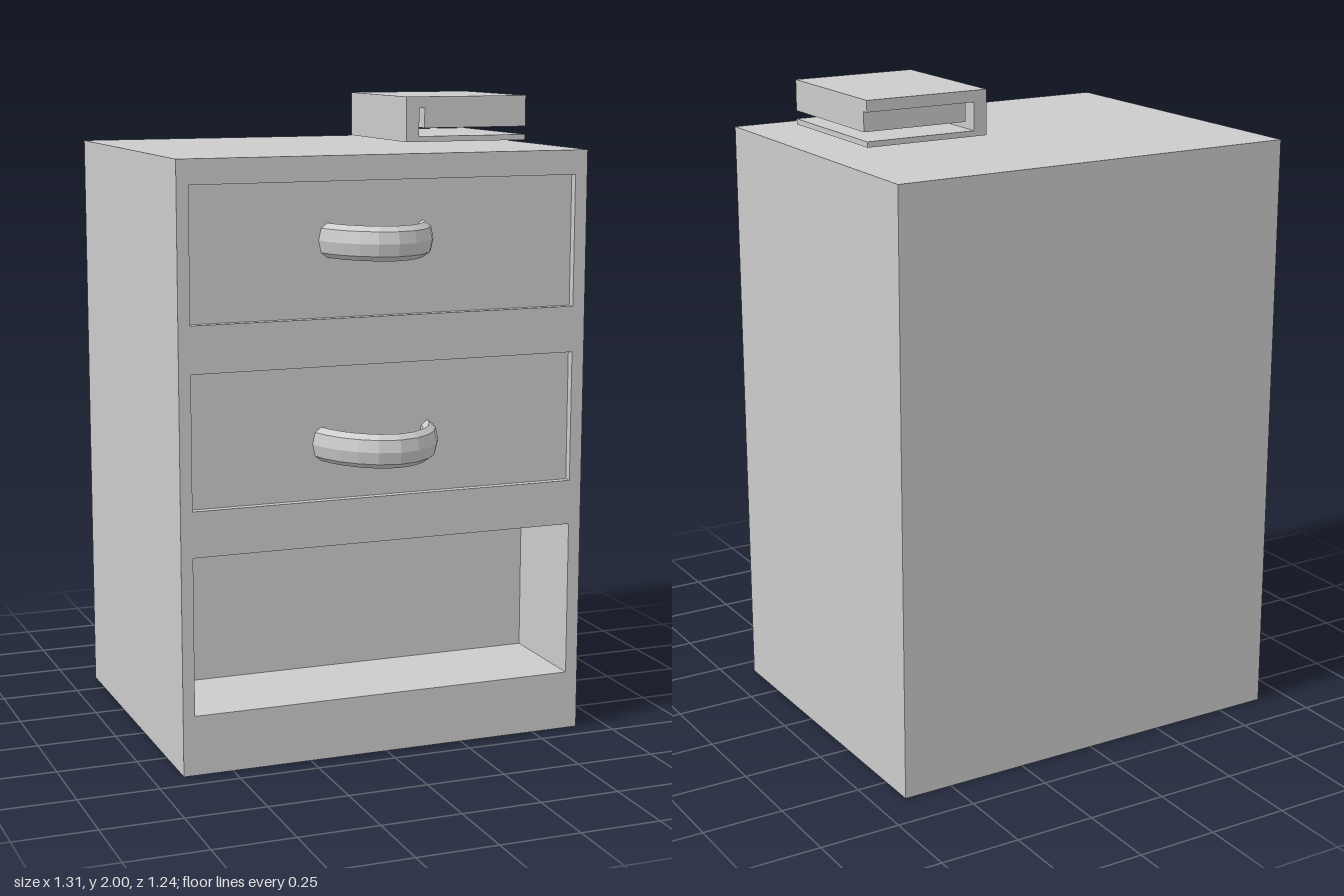
import * as THREE from 'three';

const material = new THREE.MeshStandardMaterial({ color: 0xcccccc, flatShading: true });

function add(parent, name, geometry) {
  const mesh = new THREE.Mesh(geometry, material);
  mesh.name = name;
  parent.add(mesh);
  return mesh;
}

// Box given by its minimum and maximum corners
function addBox(parent, name, [x0, y0, z0], [x1, y1, z1]) {
  const mesh = add(parent, name, new THREE.BoxGeometry(x1 - x0, y1 - y0, z1 - z0));
  mesh.position.set((x0 + x1) / 2, (y0 + y1) / 2, (z0 + z1) / 2);
  return mesh;
}

function rectangle(PathType, x0, y0, x1, y1) {
  return new PathType([[x0, y0], [x1, y0], [x1, y1], [x0, y1]].map(p => new THREE.Vector2(...p)));
}

// Bowed pull: a tube along a flat arc, stretched to a tall oval section
function addHandle(parent, name, y, halfWidth, reach) {
  const half = [[1, 0], [0.94, 0.22], [0.76, 0.55], [0.42, 0.87]];
  const arc = [
    ...half.map(([x, z]) => [-x, z]), [0, 1],
    ...half.slice().reverse(),
  ].map(([x, z]) => new THREE.Vector3(x * halfWidth, 0, z * reach));
  const tube = new THREE.TubeGeometry(new THREE.CatmullRomCurve3(arc), 10, 0.027, 8);
  tube.scale(1, 1.9, 1);
  add(parent, name, tube).position.set(-0.033, y, 0.395);
}

export function createModel() {
  const model = new THREE.Group();
  model.name = 'bedsideCabinet';

  // Cabinet: solid rear body and a front frame with three openings
  const cabinet = new THREE.Group();
  cabinet.name = 'cabinet';
  model.add(cabinet);
  const shelfBack = 0.09, front = 0.43, face = 0.405;
  addBox(cabinet, 'rearBody', [-0.655, 0, -0.62], [0.655, 1.84, shelfBack]);
  const frame = rectangle(THREE.Shape, -0.655, 0, 0.655, 1.84);
  const openings = [[0.185, 0.67], [0.81, 1.217], [1.36, 1.765]];
  for (const [y0, y1] of openings) frame.holes.push(rectangle(THREE.Path, -0.618, y0, 0.615, y1));
  add(cabinet, 'frontFrame', new THREE.ExtrudeGeometry(frame, {
    depth: front - shelfBack, bevelEnabled: false,
  })).position.z = shelfBack;

  // Recessed drawer fronts; the lowest opening stays an open shelf
  const [, lower, upper] = openings;
  addBox(model, 'lowerDrawer', [-0.618, lower[0], shelfBack], [0.615, lower[1], face]);
  addBox(model, 'upperDrawer', [-0.618, upper[0], shelfBack], [0.615, upper[1], face]);
  addHandle(model, 'lowerHandle', 0.98, 0.175, 0.193);
  addHandle(model, 'upperHandle', 1.59, 0.155, 0.173);

  // Book: wrapped cover with a page block hanging from the top board
  const book = new THREE.Group();
  book.name = 'book';
  model.add(book);
  const z0 = -0.21, z1 = 0.25;
  const cover = new THREE.Shape([
    [0.13, 1.863], [0.53, 1.863], [0.53, 1.88], [0.172, 1.88],
    [0.172, 1.965], [0.53, 1.965], [0.53, 2], [0.13, 2],
  ].map(p => new THREE.Vector2(...p)));
  add(book, 'bookCover', new THREE.ExtrudeGeometry(cover, {
    depth: z1 - z0, bevelEnabled: false,
  })).position.z = z0;
  addBox(book, 'pages', [0.19, 1.905, z0 + 0.02], [0.53, 1.965, z1]);

  return model;
}
